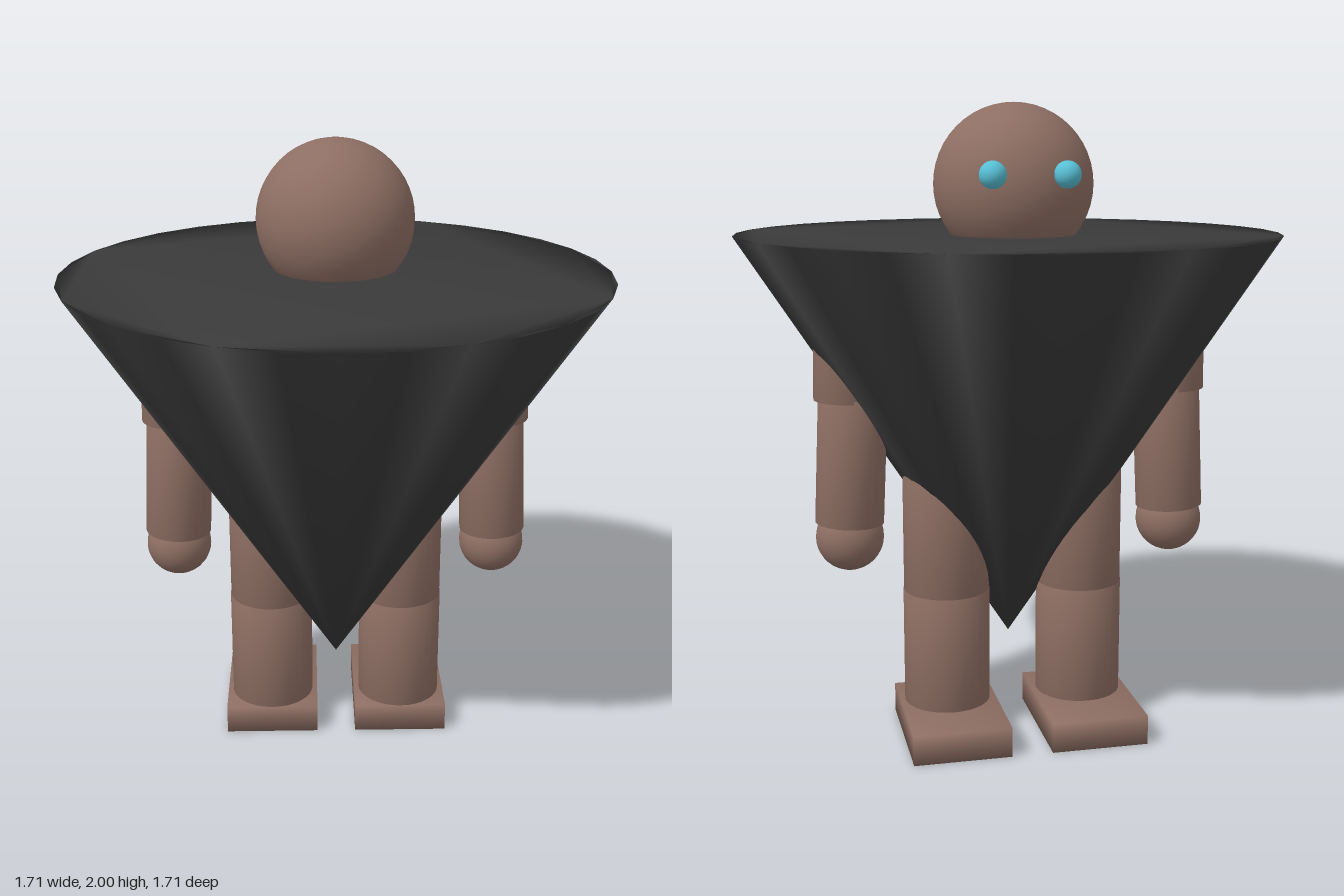
import * as THREE from 'three';
import { mergeGeometries, mergeVertices } from 'three/addons/utils/BufferGeometryUtils.js';

const brown = new THREE.MeshStandardMaterial({ color: 0x8d6e63 });
brown.name = 'brown skin';
const charcoal = new THREE.MeshStandardMaterial({ color: 0x3a3a3a });
charcoal.name = 'charcoal body';
const cyan = new THREE.MeshStandardMaterial({ color: 0x58c0d6 });
cyan.name = 'cyan eyes';

const BODY_Z = -0.075;

// Share corner vertices so normals run smoothly over every edge
function weld(...parts) {
  for (const g of parts) {
    g.deleteAttribute('normal');
    g.deleteAttribute('uv');
  }
  const welded = mergeVertices(mergeGeometries(parts), 1e-3);
  welded.computeVertexNormals();
  return welded;
}

function add(parent, name, geometry, material, x, y, z) {
  const mesh = new THREE.Mesh(geometry, material);
  mesh.name = name;
  mesh.position.set(x, y, z);
  parent.add(mesh);
  return mesh;
}

// Closed cylinder between two points
function limb(parent, name, from, to, radius) {
  const a = new THREE.Vector3(...from), b = new THREE.Vector3(...to);
  const axis = b.clone().sub(a);
  const geometry = weld(new THREE.CylinderGeometry(radius, radius, axis.length(), 32));
  const mid = a.add(b).multiplyScalar(0.5);
  const mesh = add(parent, name, geometry, brown, mid.x, mid.y, mid.z);
  mesh.quaternion.setFromUnitVectors(new THREE.Vector3(0, 1, 0), axis.normalize());
}

export function createModel() {
  const model = new THREE.Group();
  model.name = 'figure';

  // Inverted cone body with a flat top disc
  const radius = 0.855, height = 1.32, sides = 32;
  const side = new THREE.CylinderGeometry(radius, 0, height, sides, 1, true);
  const rim = [];
  for (let i = 0; i < sides; i++) {
    const a = (i / sides) * Math.PI * 2;
    rim.push(new THREE.Vector2(Math.cos(a) * radius, Math.sin(a) * radius));
  }
  const top = new THREE.ShapeGeometry(new THREE.Shape(rim));
  top.rotateX(-Math.PI / 2).translate(0, height / 2, 0);
  add(model, 'body', weld(side, top), charcoal, 0, 0.28 + height / 2, 0);

  // Head resting in the top of the body
  add(model, 'head', new THREE.SphereGeometry(0.247, 32, 24), brown, 0, 1.753, -0.078);

  for (const [label, s] of [['left', 1], ['right', -1]]) {
    add(model, label + 'Eye', new THREE.SphereGeometry(0.041, 20, 14), cyan, s * 0.112, 1.787, -0.31);

    // Arm
    const arm = new THREE.Group();
    arm.name = label + 'Arm';
    limb(arm, 'upperArm', [s * 0.522, 1.1, BODY_Z], [s * 0.515, 1.48, BODY_Z], 0.108);
    limb(arm, 'forearm', [s * 0.527, 0.708, BODY_Z], [s * 0.508, 1.11, BODY_Z], 0.108);
    add(arm, 'hand', new THREE.SphereGeometry(0.107, 28, 20), brown, s * 0.527, 0.66, BODY_Z);
    model.add(arm);

    // Leg
    const leg = new THREE.Group();
    leg.name = label + 'Leg';
    limb(leg, 'thigh', [s * 0.22, 0.47, BODY_Z], [s * 0.22, 0.9, BODY_Z], 0.137);
    limb(leg, 'shin', [s * 0.22, 0.08, BODY_Z], [s * 0.22, 0.47, BODY_Z], 0.139);
    add(leg, 'foot', weld(new THREE.BoxGeometry(0.31, 0.095, 0.435)), brown, s * 0.22, 0.0475, -0.153);
    model.add(leg);
  }
  return model;
}
